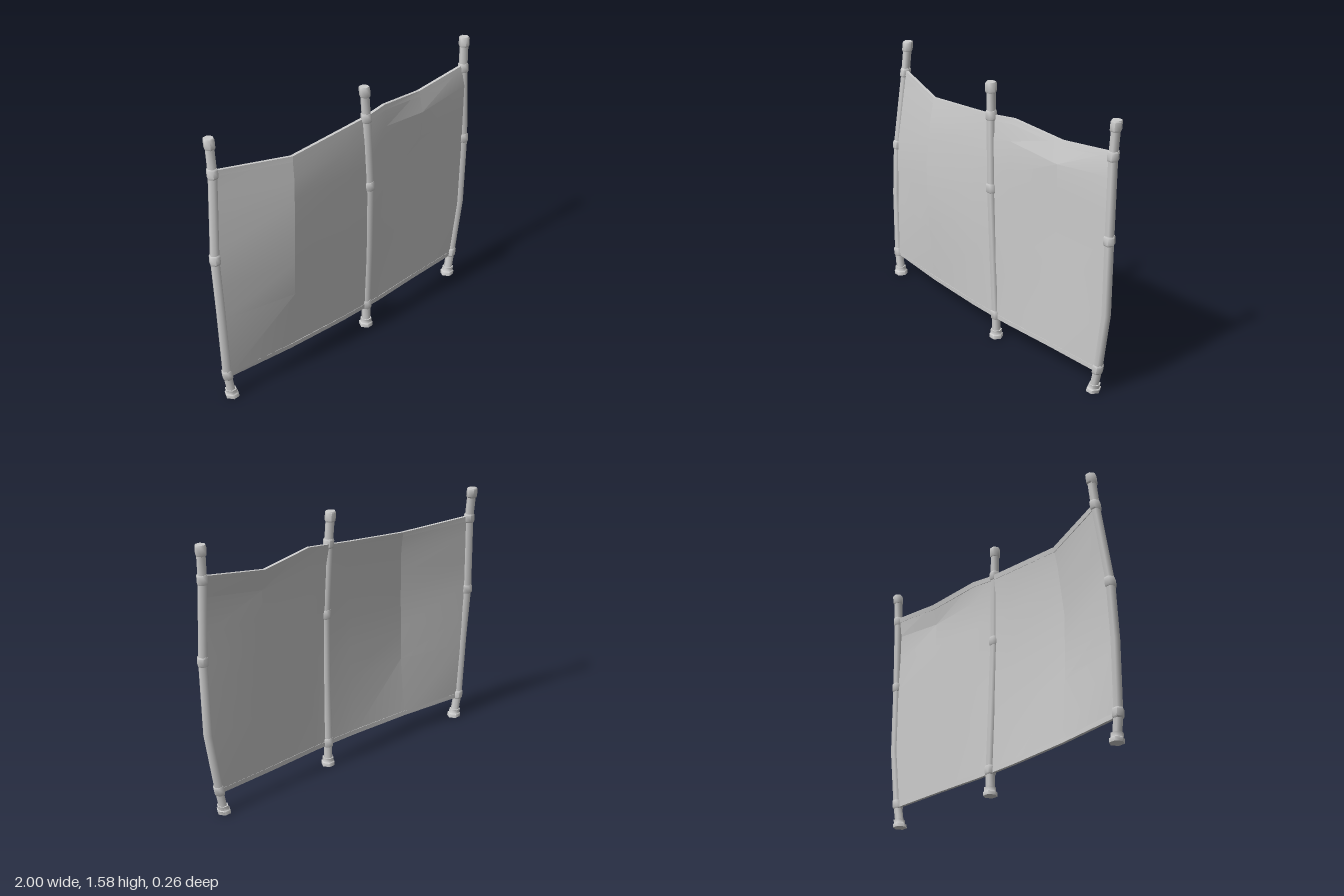
import * as THREE from 'three';
import { toCreasedNormals } from 'three/addons/utils/BufferGeometryUtils.js';

const material = new THREE.MeshStandardMaterial({ color: 0xcccccc });

// Centre lines of the bent posts, as [x, y, z] from the ground up; joints are heights
const posts = [
  { name: 'rightPost', joints: [0.15, 0.87, 1.34],
    path: [[-0.93, 0, -0.008], [-0.955, 0.15, -0.015], [-0.967, 0.55, -0.025], [-0.97, 0.87, -0.046], [-0.92, 1.34, -0.083], [-0.915, 1.53, -0.105]] },
  { name: 'middlePost', joints: [0.15, 0.95, 1.37],
    path: [[0.09, 0, 0.075], [0.09, 0.15, 0.075], [0.087, 0.55, 0.09], [0.08, 0.95, 0.1], [0.063, 1.37, 0.088], [0.053, 1.555, 0.08]] },
  { name: 'leftPost', joints: [0.15, 0.935, 1.39],
    path: [[0.88, 0, 0.07], [0.91, 0.15, 0.07], [0.962, 0.5, 0.078], [0.968, 0.935, 0.083], [0.957, 1.39, 0.067], [0.965, 1.58, 0.06]] },
];

// Position on a polyline of [x, y, z] points at height y
function at(path, y) {
  let i = 1;
  while (i < path.length - 1 && y > path[i][1]) i++;
  const a = path[i - 1], b = path[i];
  const t = (y - a[1]) / (b[1] - a[1]);
  return [a[0] + (b[0] - a[0]) * t, y, a[2] + (b[2] - a[2]) * t];
}

// Six-sided turned part, shifted sideways to follow a post's centre line
function turned(name, profile, path) {
  const points = profile.map(([r, y]) => new THREE.Vector2(r, y));
  const geometry = new THREE.LatheGeometry(points, 6, Math.PI / 2);
  const pos = geometry.attributes.position;
  for (let i = 0; i < pos.count; i++) {
    const [x, y, z] = at(path, pos.getY(i));
    pos.setXYZ(i, pos.getX(i) + x, y, pos.getZ(i) + z);
  }
  const mesh = new THREE.Mesh(toCreasedNormals(geometry, 1.1), material);
  mesh.name = name;
  return mesh;
}

function makePost({ name, joints, path }) {
  const group = new THREE.Group();
  group.name = name;
  const top = path[path.length - 1][1];
  const shaft = path.map((p) => [0.026, p[1]]);
  group.add(turned('shaft', [[0, 0], ...shaft, [0, top]], path));
  group.add(turned('foot', [[0, 0], [0.041, 0], [0.041, 0.022], [0.034, 0.026], [0.034, 0.05], [0, 0.05]], path));
  const collar = (label, y0, y1) =>
    turned(label, [[0, y0], [0.028, y0], [0.032, y0 + 0.008], [0.032, y1 - 0.008], [0.028, y1], [0, y1]], path);
  joints.forEach((y) => group.add(collar('joint', y - 0.027, y + 0.027)));
  group.add(collar('cap', top - 0.06, top));
  return group;
}

// Sheet columns: fraction across, top height, and z at the bottom, two middle rows, fold and top
const columns = [
  { u: 0, top: 1.355, z: [-0.015, -0.027, -0.046, -0.075, -0.085] },
  { u: 0.235, top: 1.32, z: [0.04, 0.075, 0.085, 0.065, 0.045] },
  { u: 0.45, top: 1.355, z: [0.07, 0.085, 0.09, 0.08, 0.065] },
  { u: 0.53, top: 1.37, z: [0.075, 0.09, 0.098, 0.088, 0.074] },
  { u: 0.613, top: 1.39, z: [0.08, 0.086, 0.09, 0.09, 0.07] },
  { u: 0.794, top: 1.355, z: [0.072, 0.067, 0.065, 0.07, 0.04] },
  { u: 1, top: 1.41, z: [0.07, 0.078, 0.083, 0.085, 0.065] },
];
const bottom = 0.13;

// Point on the sheet's middle surface
function sheetPoint({ u, top, z }, y) {
  const heights = [bottom, 0.5, 0.9, top - 0.125, top];
  const depth = at(heights.map((h, i) => [0, h, z[i]]), y)[2];
  const a = at(posts[0].path, y)[0], b = at(posts[2].path, y)[0];
  return [a + (b - a) * u, y, depth];
}

// Closed slab following the sheet; rows(column) gives heights from low to high
function slab(name, rows, half) {
  const positions = [], index = [];
  let n = 0;
  columns.forEach((column) => {
    const line = rows(column).map((y) => sheetPoint(column, y));
    const front = line.map(([x, y, z]) => [x, y, z + half]);
    const back = line.map(([x, y, z]) => [x, y, z - half]).reverse();
    n = line.length * 2;
    positions.push(...front.flat(), ...back.flat());
  });
  for (let c = 0; c < columns.length - 1; c++) {
    for (let j = 0; j < n; j++) {
      const k = (j + 1) % n;
      const a = c * n + j, b = c * n + k, d = a + n, e = b + n;
      index.push(a, d, e, a, e, b);
    }
  }
  // End caps
  const last = (columns.length - 1) * n;
  for (let j = 0; j < n / 2 - 1; j++) {
    const a = j, b = j + 1, d = n - 1 - j, e = n - 2 - j;
    index.push(a, b, e, a, e, d);
    index.push(last + a, last + e, last + b, last + a, last + d, last + e);
  }
  const geometry = new THREE.BufferGeometry();
  geometry.setAttribute('position', new THREE.Float32BufferAttribute(positions, 3));
  geometry.setIndex(index);
  const mesh = new THREE.Mesh(toCreasedNormals(geometry, 0.2), material);
  mesh.name = name;
  return mesh;
}

export function createModel() {
  const model = new THREE.Group();
  model.name = 'clothFence';
  posts.forEach((post) => model.add(makePost(post)));
  // Stretched cloth with a fold below the top edge, and a hem along each long edge
  model.add(slab('cloth', ({ top }) => [bottom, 0.5, 0.7, 0.9, 1.08, top - 0.125, top], 0.007));
  model.add(slab('topHem', ({ top }) => [top - 0.03, top], 0.009));
  model.add(slab('bottomHem', () => [bottom, bottom + 0.028], 0.009));
  return model;
}
